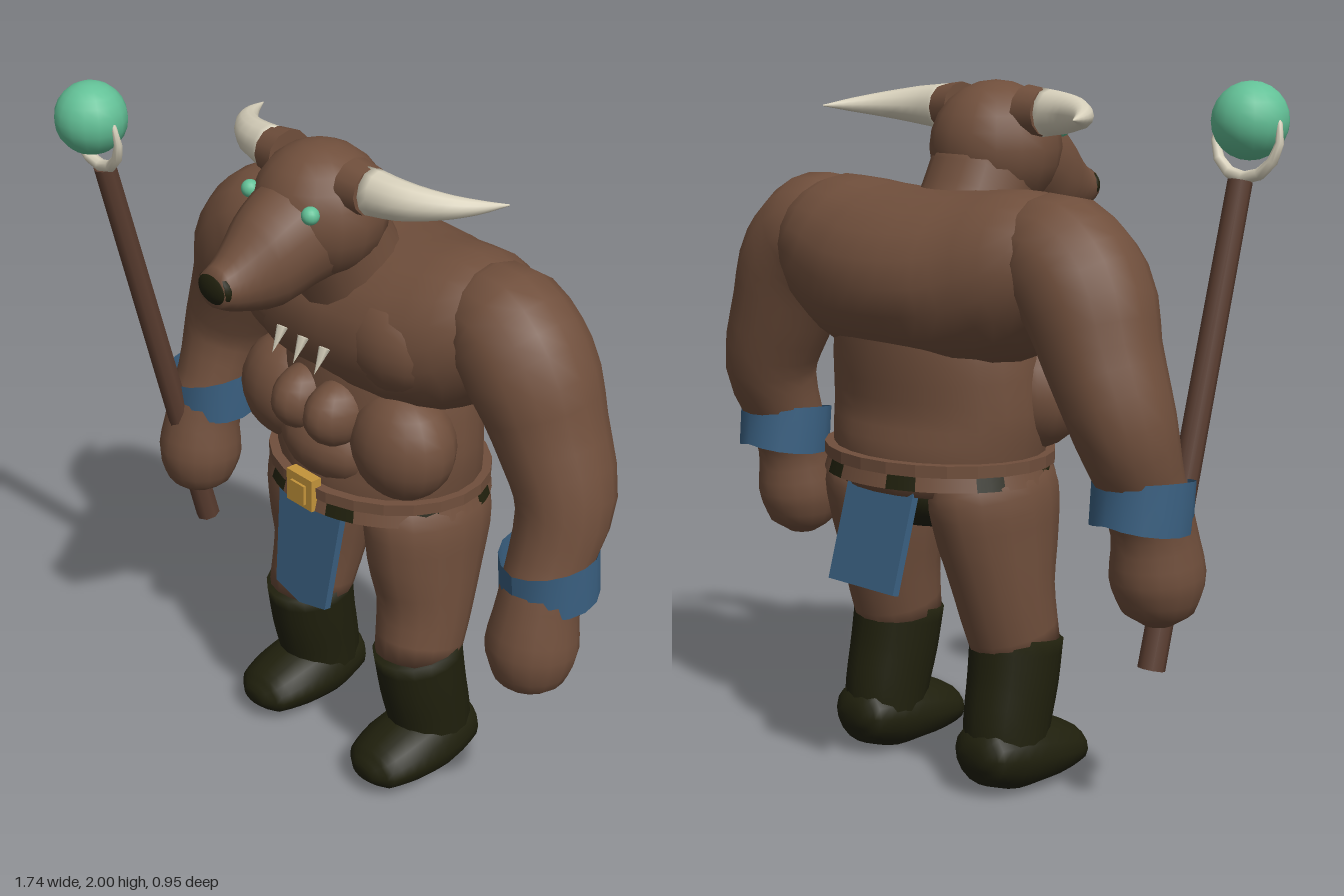
import * as THREE from 'three';

const mat = (name, color, side = THREE.FrontSide) => {
  const m = new THREE.MeshStandardMaterial({ color, side });
  m.name = name;
  return m;
};

// Lofted body through sections [x, y, z, radiusU, radiusV]; ref is the direction of radiusV ('z' or 'x')
function loft(sections, ref = 'z', sides = 16, steps = 3) {
  const r = ref === 'z' ? new THREE.Vector3(0, 0, 1) : new THREE.Vector3(1, 0, 0);
  const path = new THREE.CatmullRomCurve3(sections.map(s => new THREE.Vector3(s[0], s[1], s[2])));
  const radii = new THREE.CatmullRomCurve3(sections.map(s => new THREE.Vector3(s[3], s[4] ?? s[3], 0)));
  const n = (sections.length - 1) * steps, pos = [], idx = [];
  for (let i = 0; i <= n; i++) {
    const p = path.getPoint(i / n), q = radii.getPoint(i / n), t = path.getTangent(i / n);
    const u = r.clone().cross(t).normalize(), v = t.clone().cross(u);
    for (let j = 0; j < sides; j++) {
      const a = j / sides * Math.PI * 2;
      const c = p.clone().addScaledVector(u, q.x * Math.cos(a)).addScaledVector(v, q.y * Math.sin(a));
      pos.push(c.x, c.y, c.z);
      if (i < n) {
        const k = i * sides, j2 = (j + 1) % sides;
        idx.push(k + j, k + j2, k + sides + j, k + j2, k + sides + j2, k + sides + j);
      }
    }
  }
  // end caps
  for (const end of [0, n]) {
    const p = path.getPoint(end / n), c = pos.length / 3, k = end * sides;
    pos.push(p.x, p.y, p.z);
    for (let j = 0; j < sides; j++) {
      const j2 = (j + 1) % sides;
      if (end) idx.push(c, k + j, k + j2); else idx.push(c, k + j2, k + j);
    }
  }
  const g = new THREE.BufferGeometry();
  g.setAttribute('position', new THREE.Float32BufferAttribute(pos, 3));
  g.setIndex(idx);
  g.computeVertexNormals();
  return g;
}

const ball = (x, y, z, rx, ry = rx, rz = rx) =>
  new THREE.SphereGeometry(1, 16, 12).scale(rx, ry, rz).translate(x, y, z);

export function createModel() {
  const model = new THREE.Group();
  model.name = 'hornedWarrior';
  const skin = mat('brown hide', 0x704f3c), dark = mat('dark leather', 0x20200d);
  const blue = mat('blue cloth', 0x3a6081, THREE.DoubleSide), horn = mat('ivory', 0xd9d2bd);
  const green = mat('jade', 0x63c197), gold = mat('gold', 0xc4943a), wood = mat('staff wood', 0x5a3d30);
  const add = (name, geometry, material) => {
    const m = new THREE.Mesh(geometry, material);
    m.name = name;
    model.add(m);
    return m;
  };

  // Torso: broad transverse back and chest, waist, belly muscles
  add('chest', loft([
    [-0.58, 1.52, -0.16, 0.10, 0.10], [-0.4, 1.51, -0.16, 0.21, 0.22], [-0.2, 1.46, -0.155, 0.245, 0.285],
    [0, 1.45, -0.165, 0.245, 0.305],
    [0.2, 1.46, -0.155, 0.245, 0.285], [0.4, 1.51, -0.16, 0.21, 0.22], [0.58, 1.52, -0.16, 0.10, 0.10],
  ], 'z', 20), skin);
  add('waist', loft([
    [0, 0.87, -0.14, 0.31, 0.25], [0, 0.98, -0.14, 0.335, 0.27], [0, 1.1, -0.14, 0.35, 0.25],
    [0, 1.25, -0.15, 0.34, 0.25], [0, 1.4, -0.16, 0.3, 0.24],
  ], 'z', 24), skin);
  add('neck', loft([[0, 1.42, -0.12, 0.2, 0.2], [0, 1.6, -0.02, 0.165, 0.16], [0, 1.78, 0.06, 0.16, 0.15]]), skin);
  add('upperBelly', ball(-0.07, 1.2, 0.07, 0.085, 0.1, 0.125), skin);
  add('upperBelly', ball(0.07, 1.2, 0.07, 0.085, 0.1, 0.125), skin);
  add('lowerBelly', ball(0, 1.07, 0.01, 0.2, 0.12, 0.15), skin);

  // Head, snout and nose
  add('skull', ball(0, 1.8, 0.085, 0.192, 0.19, 0.188), skin);
  add('snout', loft([
    [0, 1.78, 0.1, 0.165, 0.17], [0, 1.745, 0.2, 0.155, 0.145], [0, 1.695, 0.3, 0.135, 0.118],
    [0, 1.67, 0.4, 0.082, 0.078], [0, 1.668, 0.462, 0.05, 0.058],
  ], 'x'), skin);
  add('nose', ball(0, 1.672, 0.448, 0.066, 0.048, 0.028), dark);

  // Paired parts
  for (const s of [-1, 1]) {
    const side = s > 0 ? 'left' : 'right';
    const mir = list => list.map(([x, ...rest]) => [s * x, ...rest]);

    add(side + 'Pec', ball(s * 0.21, 1.46, -0.01, 0.2, 0.16, 0.14), skin);
    add(side + 'Flank', ball(s * 0.24, 1.14, -0.01, 0.165, 0.165, 0.14), skin);
    add(side + 'Eye', ball(s * 0.125, 1.853, 0.225, 0.025), green);

    // arm and fist in one sweep
    add(side + 'Arm', loft(mir([
      [0.36, 1.54, -0.155, 0.13, 0.13], [0.48, 1.54, -0.155, 0.18, 0.18], [0.575, 1.46, -0.155, 0.18, 0.185],
      [0.65, 1.3, -0.165, 0.155, 0.165], [0.725, 1.12, -0.16, 0.135, 0.145], [0.735, 0.95, -0.1, 0.118, 0.115],
      [0.74, 0.84, -0.06, 0.115, 0.115], [0.74, 0.71, -0.04, 0.13, 0.132], [0.74, 0.61, -0.035, 0.1, 0.1],
      [0.74, 0.57, -0.035, 0.04, 0.04],
    ])), skin);

    // bracer with pointed edges
    const cuff = new THREE.CylinderGeometry(0.134, 0.134, 0.105, 16, 1, true);
    const p = cuff.attributes.position;
    for (let i = 0; i < p.count; i++) {
      const a = Math.atan2(p.getX(i), p.getZ(i)), top = p.getY(i) > 0;
      p.setY(i, p.getY(i) - (top ? -1 : 1) * 0.02 * Math.abs(Math.sin(a)));
      p.setZ(i, p.getZ(i) * 1.07);
    }
    cuff.computeVertexNormals();
    add(side + 'Bracer', cuff.rotateX(0.08).translate(s * 0.736, 0.915, -0.1), blue);

    // leg, boot shaft and foot
    add(side + 'Leg', loft(mir([
      [0.2, 0.93, -0.14, 0.13, 0.2], [0.215, 0.86, -0.135, 0.152, 0.215], [0.222, 0.74, -0.125, 0.148, 0.195],
      [0.235, 0.58, -0.112, 0.135, 0.152], [0.245, 0.41, -0.075, 0.122, 0.132],
    ])), skin);
    add(side + 'BootShaft', loft(mir([
      [0.246, 0.445, -0.073, 0.127, 0.14], [0.25, 0.32, -0.092, 0.124, 0.137],
      [0.253, 0.2, -0.118, 0.118, 0.132], [0.255, 0.1, -0.13, 0.115, 0.125],
    ])), dark);
    add(side + 'Foot', loft(mir([
      [0.257, 0.125, -0.265, 0.03, 0.05], [0.257, 0.125, -0.23, 0.085, 0.1], [0.257, 0.113, -0.11, 0.11, 0.126],
      [0.257, 0.1, 0.01, 0.092, 0.126], [0.257, 0.085, 0.11, 0.062, 0.1], [0.257, 0.083, 0.15, 0.025, 0.045],
    ]), 'x'), dark);

    // horn curving out and back, with a socket
    add(side + 'HornSocket', new THREE.CylinderGeometry(0.066, 0.075, 0.07, 12)
      .rotateZ(-s * Math.PI / 2).translate(s * 0.168, 1.905, 0.08), skin);
    add(side + 'Horn', loft(mir([
      [0.19, 1.905, 0.08, 0.068, 0.055], [0.3, 1.907, 0.065, 0.055, 0.05], [0.4, 1.907, 0.01, 0.036, 0.035],
      [0.46, 1.906, -0.055, 0.02, 0.02], [0.502, 1.905, -0.13, 0.002, 0.002],
    ]), 'z', 12), horn);
  }

  // Three fangs on the chest
  for (const x of [-0.09, 0, 0.09]) {
    add('chestFang', new THREE.ConeGeometry(0.017, 0.08, 6)
      .rotateX(Math.PI - 0.5).translate(x, 1.395, 0.168), horn);
  }

  // Belt: brown rim above a band of alternating leather patches
  const ring = new THREE.Shape().absellipse(0, 0, 0.358, 0.3, 0, Math.PI * 2);
  ring.holes.push(new THREE.Path().absellipse(0, 0, 0.3, 0.24, 0, Math.PI * 2));
  const rim = (y, depth) => new THREE.ExtrudeGeometry(ring, { depth, bevelEnabled: false, curveSegments: 12 })
    .rotateX(-Math.PI / 2).translate(0, y, -0.14);
  add('beltRim', rim(0.94, 0.034), skin);
  const patches = 24;
  for (let i = 0; i < patches; i++) {
    const a = i / patches * Math.PI * 2;
    add('beltPatch', new THREE.CylinderGeometry(0.345, 0.358, 0.042, 2, 1, true, a, Math.PI * 2 / patches)
      .scale(1, 1, 0.845).translate(0, 0.921, -0.14), i % 3 === 1 ? dark : skin);
  }
  add('breeches', ball(0, 0.86, -0.17, 0.18, 0.12, 0.19), dark);
  add('buckle', new THREE.BoxGeometry(0.11, 0.1, 0.035).translate(0, 0.95, 0.152), gold);
  add('buckleTongue', new THREE.BoxGeometry(0.06, 0.06, 0.012).translate(0, 0.945, 0.172), gold);

  // Hanging cloths
  const cloth = points => new THREE.ExtrudeGeometry(
    new THREE.Shape(points.map(p => new THREE.Vector2(...p))), { depth: 0.022, bevelEnabled: false });
  add('frontCloth', cloth([[-0.135, 0], [-0.11, -0.31], [0, -0.335], [0.11, -0.31], [0.135, 0]])
    .rotateX(-0.13).translate(0, 0.9, 0.108), blue);
  add('backCloth', cloth([[-0.135, 0], [-0.135, -0.3], [0.135, -0.3], [0.135, 0]])
    .rotateX(0.28).translate(0, 0.895, -0.363), blue);

  // Staff leaning forward, with a crescent holding an orb
  const lean = Math.atan2(0.33, 1.29);
  add('staff', new THREE.CylinderGeometry(0.034, 0.038, 1.33, 8)
    .rotateX(lean).translate(-0.745, 1.095, 0.1), wood);
  const arc = [];
  for (let i = 0; i <= 10; i++) {
    const a = Math.PI * (-1.27 + 1.54 * i / 10), w = Math.sin(Math.PI * i / 10);
    arc.push([0.11 * Math.cos(a), 0.11 * Math.sin(a), 0, 0.003 + 0.015 * w, 0.003 + 0.016 * w]);
  }
  add('crescent', loft(arc, 'z', 8, 1).rotateX(lean * 0.5).translate(-0.745, 1.855, 0.292), horn);
  add('orb', ball(-0.745, 1.897, 0.302, 0.106), green);
  return model;
}
